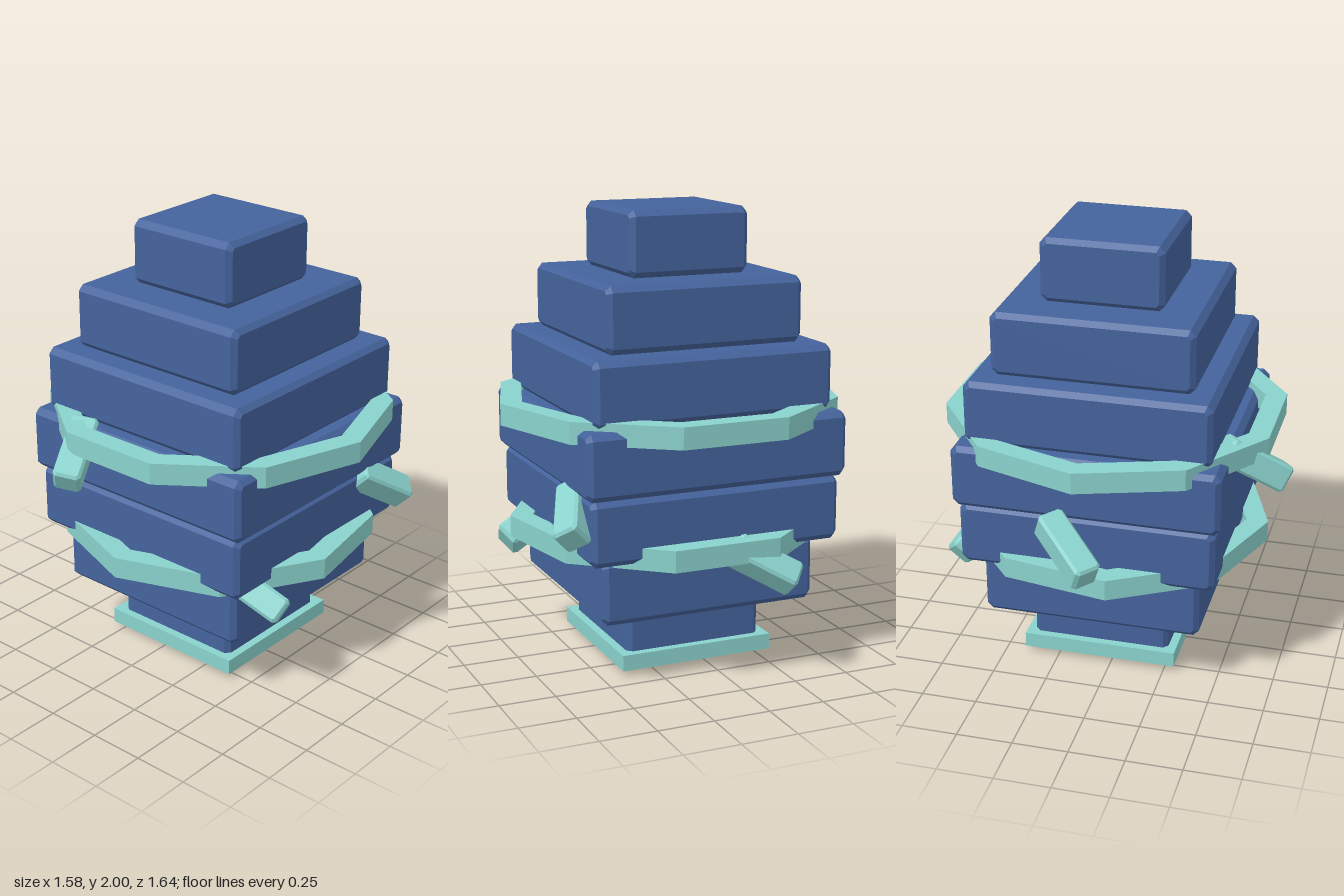
import * as THREE from 'three';

const blue = new THREE.MeshStandardMaterial({ color: 0x44639c });
blue.name = 'slate blue';
const teal = new THREE.MeshStandardMaterial({ color: 0x8ad2cd });
teal.name = 'pale teal';

const AXIS = 0.055; // the tower axis sits slightly off the origin in x and z

// Box with chamfered edges, centred on the origin
function chamferBox(w, h, d, c) {
  const x = w / 2 - c, y = h / 2 - c, k = c * 0.6;
  const shape = new THREE.Shape([
    [x - k, -y], [x, -y + k], [x, y - k], [x - k, y],
    [-x + k, y], [-x, y - k], [-x, -y + k], [-x + k, -y],
  ].map(([px, py]) => new THREE.Vector2(px, py)));
  const geo = new THREE.ExtrudeGeometry(shape, {
    depth: d - 2 * c, bevelEnabled: true, bevelThickness: c, bevelSize: c, bevelSegments: 1,
  });
  return geo.translate(0, 0, -(d - 2 * c) / 2);
}

// Flat-sided polygonal ring lying in the horizontal plane
function polygonRing(sides, outer, inner, height, start) {
  const points = (r) => Array.from({ length: sides }, (_, i) => {
    const a = start + (i * 2 * Math.PI) / sides;
    return new THREE.Vector2(r * Math.cos(a), r * Math.sin(a));
  });
  const shape = new THREE.Shape(points(outer));
  shape.holes.push(new THREE.Path(points(inner)));
  return new THREE.ExtrudeGeometry(shape, { depth: height, bevelEnabled: false }).rotateX(-Math.PI / 2);
}

function add(parent, name, geometry, material, x, y, z) {
  const mesh = new THREE.Mesh(geometry, material);
  mesh.name = name;
  mesh.position.set(x, y, z);
  parent.add(mesh);
  return mesh;
}

export function createModel() {
  const model = new THREE.Group();
  model.name = 'steppedTower';

  // Seven stacked square tiers, widest in the middle
  const step = 2 / 7;
  [0.63, 0.98, 1.14, 1.186, 1.084, 0.89, 0.544].forEach((w, i) => {
    add(model, `tier${i + 1}`, chamferBox(w, step - 0.001, w, 0.022), blue, AXIS, (i + 0.5) * step, AXIS);
  });

  // Square collar round the foot
  add(model, 'footCollar', new THREE.BoxGeometry(0.705, 0.07, 0.705), teal, AXIS, 0.06, AXIS);

  // Two polygonal rings
  add(model, 'lowerRing', polygonRing(9, 0.705, 0.605, 0.095, Math.PI), teal, AXIS, 0.546, AXIS);
  add(model, 'upperRing', polygonRing(10, 0.768, 0.67, 0.095, Math.PI / 2), teal, AXIS, 1.081, AXIS);

  // Tilted shards: centre, long axis, side axis, length
  [
    [[-0.617, 1.055, -0.19], [0.25, 0.17, -0.115], [0.06, -0.02, 0.104], 0.32],
    [[0.47, 0.776, 0.65], [0.23, -0.15, 0.1], [0.08, 0.053, -0.075], 0.3],
    [[-0.326, 0.52, 0.575], [-0.22, 0.44, -0.87], [0.09, 0.095, 0.025], 0.29],
    [[0.675, 0.518, -0.135], [-0.11, 0.15, 0.26], [0.074, -0.075, 0.078], 0.3],
    [[0.09, 0.793, -0.667], [0.23, 0.152, 0.19], [-0.083, 0, 0.077], 0.335],
  ].forEach(([centre, long, side, length], i) => {
    const x = new THREE.Vector3(...long).normalize();
    const z = new THREE.Vector3().crossVectors(x, new THREE.Vector3(...side)).normalize();
    const y = new THREE.Vector3().crossVectors(z, x);
    const shard = add(model, `shard${i + 1}`, chamferBox(length, 0.122, 0.122, 0.012), teal, ...centre);
    shard.quaternion.setFromRotationMatrix(new THREE.Matrix4().makeBasis(x, y, z));
  });

  return model;
}
